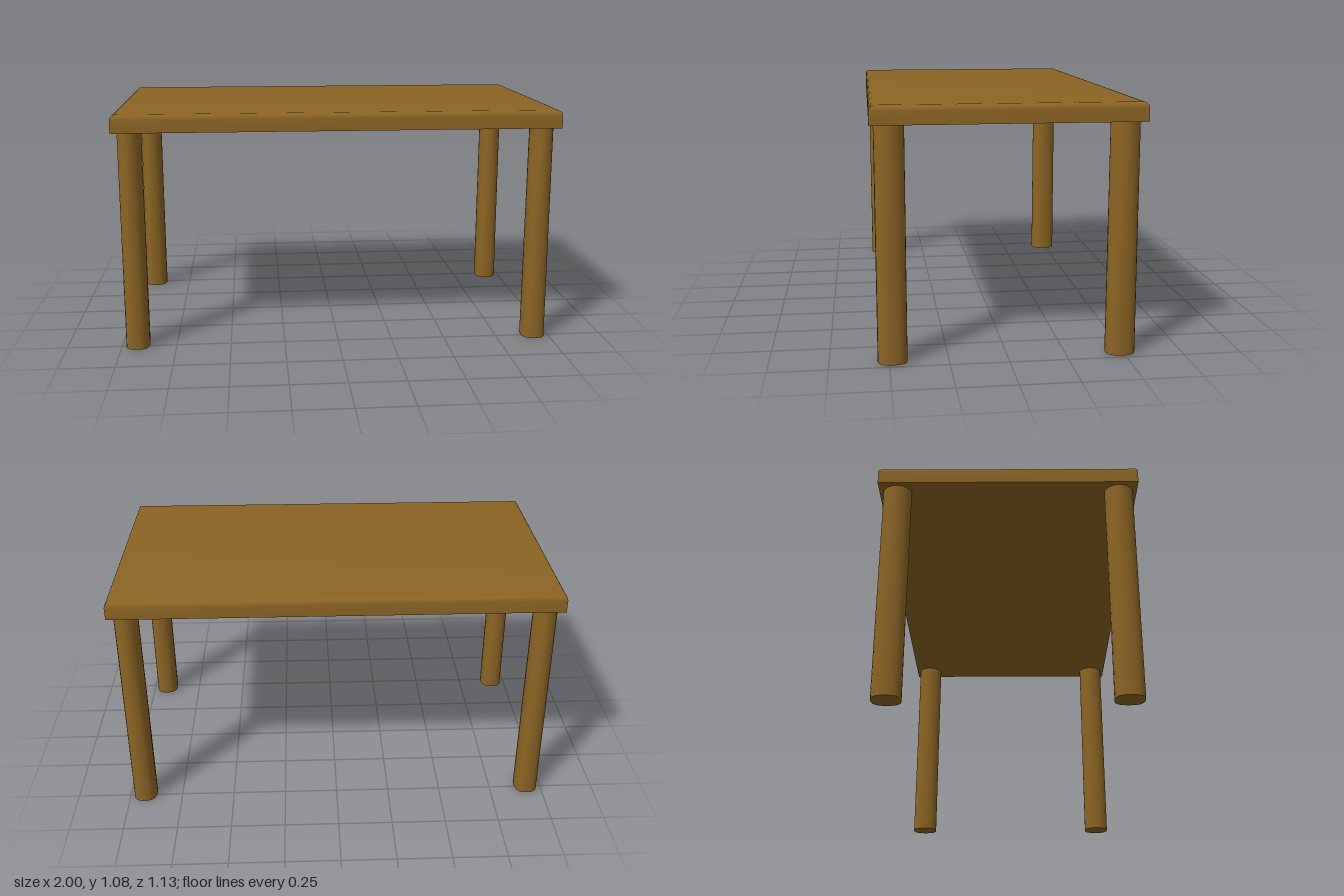
import * as THREE from 'three';
import { toCreasedNormals } from 'three/addons/utils/BufferGeometryUtils.js';

// Closed solid from a stack of equal-length cross-sections (bottom to top), each a loop of [x, y, z]
function loft(loops) {
  const n = loops[0].length, pos = [], idx = [];
  loops.forEach(loop => loop.forEach(p => pos.push(...p)));
  for (let j = 0; j < loops.length - 1; j++) {
    for (let i = 0; i < n; i++) {
      const a = j * n + i, b = j * n + (i + 1) % n;
      idx.push(a, a + n, b, b, a + n, b + n);
    }
  }
  const top = (loops.length - 1) * n;
  for (let i = 1; i < n - 1; i++) {
    idx.push(0, i, i + 1);
    idx.push(top, top + i + 1, top + i);
  }
  const g = new THREE.BufferGeometry();
  g.setAttribute('position', new THREE.Float32BufferAttribute(pos, 3));
  g.setIndex(idx);
  return toCreasedNormals(g, 0.6);
}

// Rectangular section, ordered to turn from +x towards +z
const rect = (hx, hz, y) => [[hx, y, -hz], [hx, y, hz], [-hx, y, hz], [-hx, y, -hz]];

// Oval section: power 2 is an ellipse, higher is squarer
function oval(rx, rz, power, y, sides = 24) {
  const bend = v => Math.sign(v) * Math.pow(Math.abs(v), 2 / power);
  return Array.from({ length: sides }, (_, i) => {
    const a = (i / sides) * Math.PI * 2;
    return [rx * bend(Math.cos(a)), y, rz * bend(Math.sin(a))];
  });
}

export function createModel() {
  const table = new THREE.Group();
  table.name = 'table';
  const wood = new THREE.MeshStandardMaterial({ color: 0x8b6424 });
  wood.name = 'brown wood';

  // Tabletop: square below, rounded over along the upper edge
  const hx = 1, hz = 0.566, low = 1, high = 1.08, r = 0.023, steps = 5;
  const slab = [rect(hx, hz, low)];
  for (let i = 0; i <= steps; i++) {
    const a = (i / steps) * Math.PI / 2, inset = r * (1 - Math.cos(a));
    slab.push(rect(hx - inset, hz - inset, high - r + r * Math.sin(a)));
  }
  const top = new THREE.Mesh(loft(slab), wood);
  top.name = 'tabletop';
  table.add(top);

  // Legs: oval posts, slightly squarer at the foot than at the top
  const legGeometry = loft([0, 0.5, 1].map(t => oval(0.054, 0.0625, 2.6 - 0.8 * t, t * low)));
  for (const [front, z] of [['front', 0.486], ['back', -0.486]]) {
    for (const [side, x] of [['Left', 0.927], ['Right', -0.927]]) {
      const leg = new THREE.Mesh(legGeometry, wood);
      leg.name = `${front}${side}Leg`;
      leg.position.set(x, 0, z);
      table.add(leg);
    }
  }
  return table;
}
